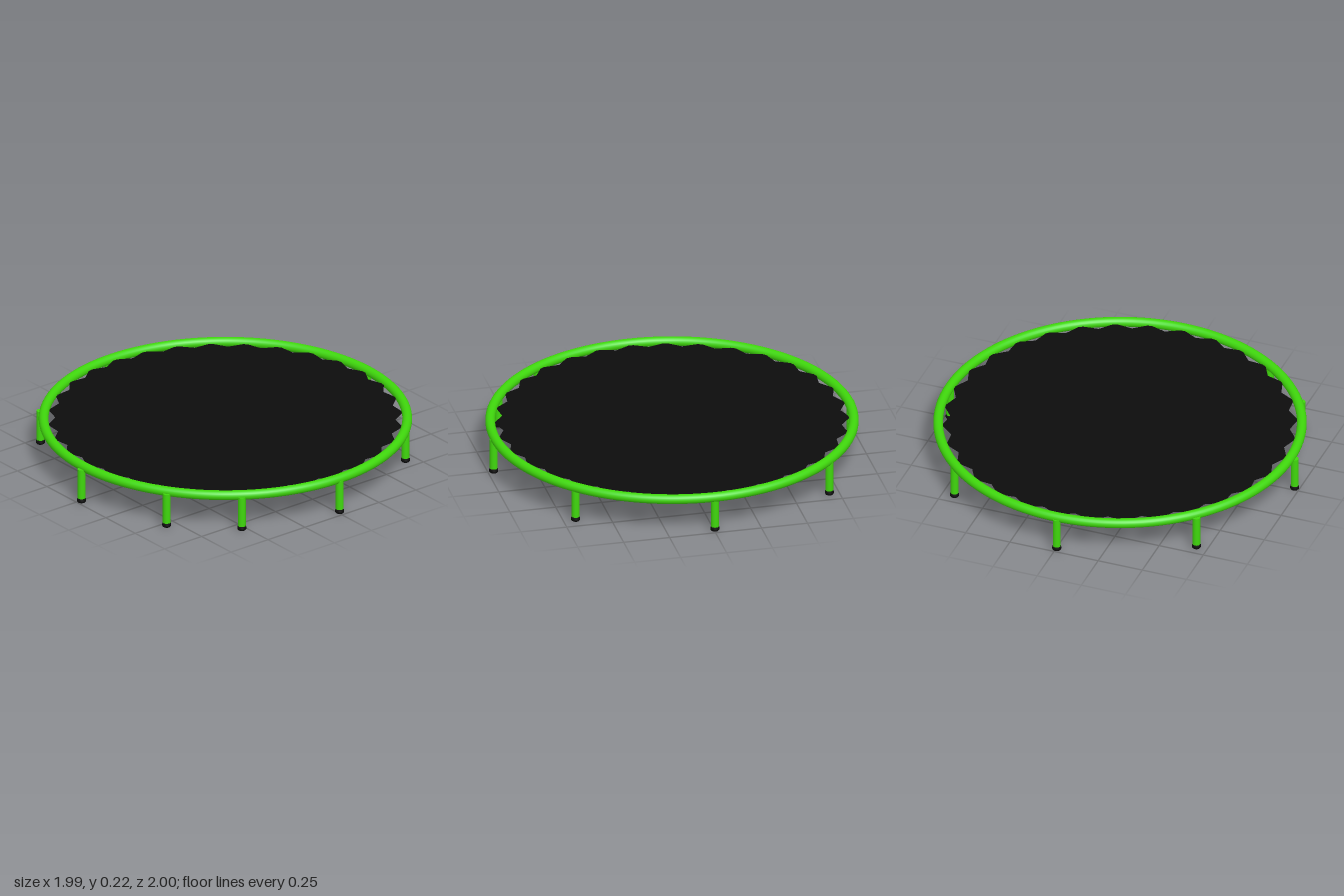
import * as THREE from 'three';

const RING_Y = 0.196, RING_R = 0.962, TUBE_R = 0.026, CENTRE_Z = -0.008;

export function createModel() {
  const model = new THREE.Group();
  model.name = 'trampoline';
  const green = new THREE.MeshStandardMaterial({ color: 0x3fd70c });
  const black = new THREE.MeshStandardMaterial({ color: 0x0c0c0c });
  const matBlack = new THREE.MeshStandardMaterial({ color: 0x0c0c0c, side: THREE.DoubleSide });

  const add = (parent, name, geometry, material, x, y, z) => {
    const mesh = new THREE.Mesh(geometry, material);
    mesh.name = name;
    mesh.position.set(x, y, z);
    parent.add(mesh);
    return mesh;
  };

  // Round tube frame
  const ring = new THREE.TorusGeometry(RING_R, TUBE_R, 20, 128).rotateX(Math.PI / 2);
  add(model, 'frameRing', ring, green, 0, RING_Y, CENTRE_Z);

  // Jumping mat: 32 points reach the frame, with shallow notches between them
  const points = [];
  const count = 32;
  for (let i = 0; i < count * 2; i++) {
    const a = (i / (count * 2)) * Math.PI * 2;
    const r = i % 2 ? 0.9 : 0.943;
    points.push(new THREE.Vector2(Math.cos(a) * r, Math.sin(a) * r));
  }
  const mat = new THREE.ShapeGeometry(new THREE.Shape(points)).rotateX(-Math.PI / 2);
  add(model, 'jumpingMat', mat, matBlack, 0, RING_Y, CENTRE_Z);

  // Legs with rubber feet, given as [x, z]
  const legSpots = [
    [0.97, -0.008], [0.815, 0.53], [0.535, 0.815], [0.014, 0.976], [-0.695, 0.69],
    [-0.975, 0.006], [-0.695, -0.68], [-0.004, -0.968], [0.685, -0.68],
  ];
  const legGeometry = new THREE.CylinderGeometry(0.021, 0.021, 0.172, 20);
  const footGeometry = new THREE.LatheGeometry(
    [[0, 0], [0.019, 0], [0.024, 0.006], [0.024, 0.016], [0.021, 0.024], [0, 0.024]]
      .map(([r, y]) => new THREE.Vector2(r, y)), 20);
  legSpots.forEach(([x, z], i) => {
    const leg = new THREE.Group();
    leg.name = 'leg' + (i + 1);
    leg.position.set(x, 0, z);
    add(leg, 'legPost', legGeometry, green, 0, 0.106, 0);
    add(leg, 'rubberFoot', footGeometry, black, 0, 0, 0);
    model.add(leg);
  });

  return model;
}
